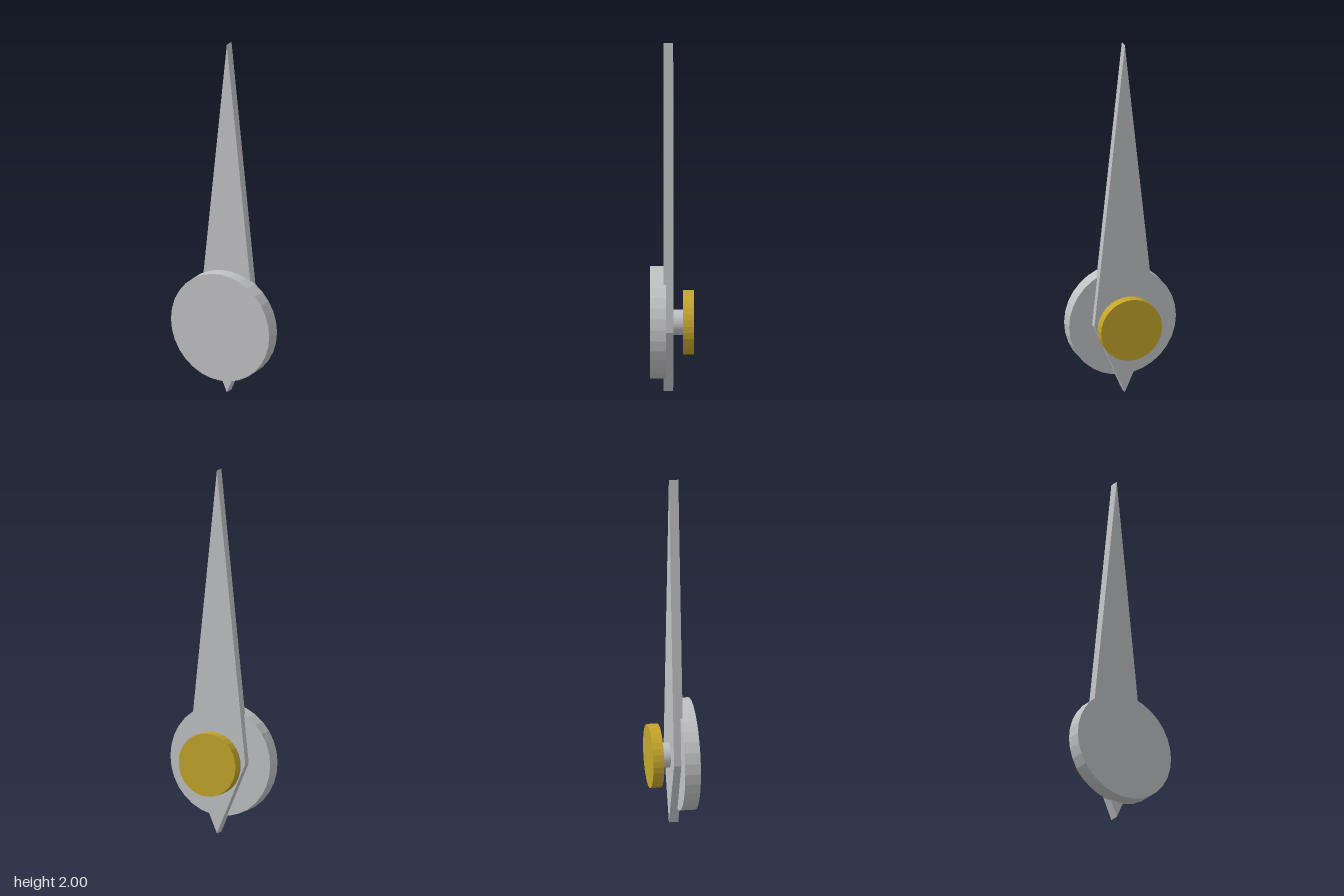
import * as THREE from 'three';

export function createModel() {
  const model = new THREE.Group();
  model.name = 'pointerHand';

  const steel = new THREE.MeshStandardMaterial({ color: 0xc0c1c3, flatShading: true });
  steel.name = 'steel grey';
  const gold = new THREE.MeshStandardMaterial({ color: 0xc4a52b, flatShading: true });
  gold.name = 'gold';

  const hubY = 0.395;

  // Round part lying along z, from the back face to the front face
  function disc(name, radius, back, front, material) {
    const geometry = new THREE.CylinderGeometry(radius, radius, front - back, 32);
    geometry.rotateX(Math.PI / 2);
    const mesh = new THREE.Mesh(geometry, material);
    mesh.name = name;
    mesh.position.set(0, hubY, (back + front) / 2);
    model.add(mesh);
  }

  // Long kite-shaped blade, widest at the hub
  const outline = new THREE.Shape([
    new THREE.Vector2(0, 0),
    new THREE.Vector2(0.174, hubY),
    new THREE.Vector2(0, 2),
    new THREE.Vector2(-0.174, hubY),
  ]);
  const blade = new THREE.Mesh(
    new THREE.ExtrudeGeometry(outline, { depth: 0.052, bevelEnabled: false }), steel);
  blade.name = 'blade';
  blade.position.z = -0.008;
  model.add(blade);

  // Front cover, rear spindle and gold knob share one axis
  disc('frontDisc', 0.305, 0.032, 0.118, steel);
  disc('spindle', 0.0685, -0.066, 0.0, steel);
  disc('rearKnob', 0.174, -0.121, -0.061, gold);

  return model;
}
